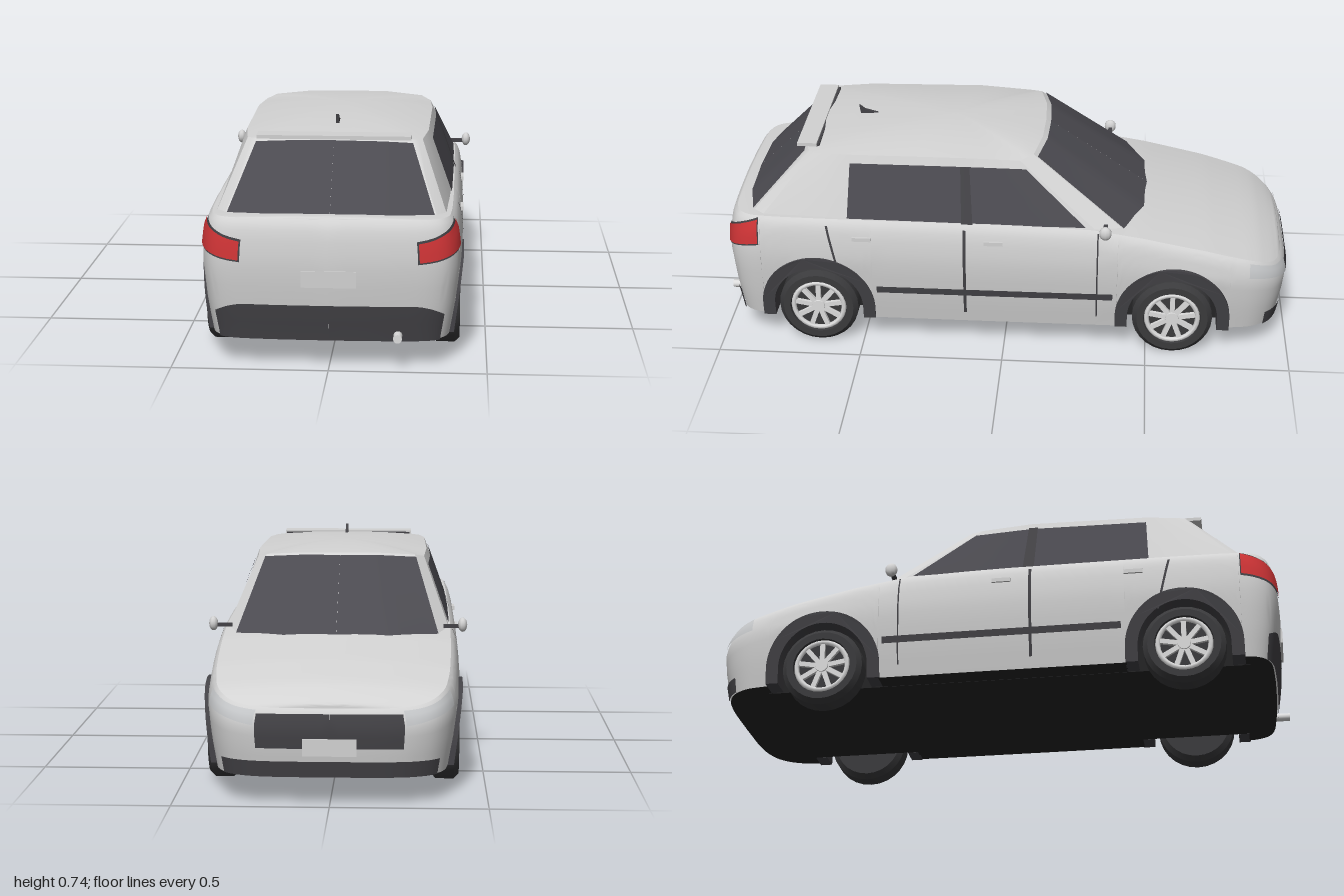
import * as THREE from 'three';
import { toCreasedNormals } from 'three/addons/utils/BufferGeometryUtils.js';

const material = (name, color, side = THREE.FrontSide) => {
  const m = new THREE.MeshStandardMaterial({ color, side });
  m.name = name;
  return m;
};
const { lerp, clamp } = THREE.MathUtils;

// piecewise linear table lookup
function interp(table, x) {
  if (x <= table[0][0]) return table[0][1];
  for (let i = 1; i < table.length; i++) {
    const [x0, y0] = table[i - 1], [x1, y1] = table[i];
    if (x <= x1) return lerp(y0, y1, (x - x0) / (x1 - x0));
  }
  return table[table.length - 1][1];
}

// surface through f(i, j); flip reverses the facing
function grid(f, nu, nv, flip = false, crease = 0.6) {
  const pos = [], index = [];
  for (let i = 0; i <= nu; i++) for (let j = 0; j <= nv; j++) pos.push(...f(i, j));
  for (let i = 0; i < nu; i++) for (let j = 0; j < nv; j++) {
    const a = i * (nv + 1) + j, b = a + nv + 1, c = b + 1, d = a + 1;
    index.push(...(flip ? [a, b, d, b, c, d] : [a, d, b, b, d, c]));
  }
  const g = new THREE.BufferGeometry();
  g.setAttribute('position', new THREE.Float32BufferAttribute(pos, 3));
  g.setIndex(index);
  return toCreasedNormals(g, crease);
}

// half outline of the body seen from above, nose (-z) to tail (+z)
const plan = new THREE.CatmullRomCurve3([
  [0, -1], [0.2, -0.996], [0.29, -0.98], [0.345, -0.945], [0.385, -0.88], [0.405, -0.78], [0.416, -0.6],
  [0.42, -0.2], [0.42, 0.3], [0.418, 0.65], [0.412, 0.83], [0.402, 0.9], [0.375, 0.945], [0.33, 0.968],
  [0.22, 0.98], [0, 0.985],
].map(([x, z]) => new THREE.Vector3(x, 0, z)), false, 'centripetal');
const find = (test) => {
  let lo = 0, hi = 1;
  for (let i = 0; i < 36; i++) { const m = (lo + hi) / 2; if (test(m)) hi = m; else lo = m; }
  return (lo + hi) / 2;
};
const uZ = (z) => find((u) => plan.getPoint(u).z > z);
const uNose = (x) => find((u) => u > 0.45 || plan.getPoint(u).x > x);
const uTail = (x) => find((u) => u > 0.55 && plan.getPoint(u).x < x);

const AXLES = [-0.59, 0.655], ARCH = 0.195, WHEEL_Y = 0.15;
const topY = (z) => interp([[-1, 0.32], [-0.9, 0.355], [-0.7, 0.407], [-0.48, 0.452], [-0.3, 0.48], [0, 0.488], [0.985, 0.49]], z);
const bottomY = (z) => {
  for (const c of AXLES) if (Math.abs(z - c) <= ARCH) return WHEEL_Y + Math.sqrt(ARCH ** 2 - (z - c) ** 2);
  return 0.1;
};
// point on the body wall at outline position u and height y
function wall(u, y, off = 0) {
  const p = plan.getPoint(u), t = plan.getTangent(u);
  const g = Math.min(interp([[0.1, 0.925], [0.2, 0.968], [0.33, 1]], y),
    interp([[0, 0.925], [0.012, 0.95], [0.035, 0.972], [0.08, 0.99], [0.13, 1]], topY(p.z) - y));
  const end = clamp((Math.abs(p.z) - 0.85) / 0.13, 0, 1);
  return [p.x * g + t.z * off, y, p.z - Math.sign(p.z) * (1 - g) * 0.4 * end - t.x * off];
}

// cabin: base x, base z, roof edge x, y, z
const CABIN = [
  [0, -0.5, 0, 0.712, -0.125], [0.18, -0.485, 0.14, 0.711, -0.12], [0.345, -0.41, 0.265, 0.702, -0.095],
  [0.387, -0.33, 0.298, 0.692, -0.05], [0.39, 0.12, 0.308, 0.7, 0.13], [0.386, 0.55, 0.302, 0.697, 0.54],
  [0.375, 0.86, 0.285, 0.692, 0.67], [0.345, 0.9, 0.255, 0.694, 0.69], [0.2, 0.937, 0.15, 0.7, 0.695],
  [0, 0.945, 0, 0.702, 0.695],
];
function cabin(k, t) {
  const i = Math.min(Math.floor(k), 8), f = k - i;
  const [bx, bz, tx, ty, tz] = CABIN[i].map((v, n) => lerp(v, CABIN[i + 1][n], f));
  return new THREE.Vector3(lerp(bx, tx, t), lerp(0.465, ty, t), lerp(bz, tz, t));
}
function cabinOut(k, t, off) {
  const p = cabin(k, t);
  const dk = cabin(Math.min(k + 0.01, 9), t).sub(cabin(Math.max(k - 0.01, 0), t));
  const dt = cabin(k, 1).sub(cabin(k, 0));
  return p.addScaledVector(dt.cross(dk).normalize(), off);
}

export function createModel() {
  const car = new THREE.Group();
  const paint = material('paint', 0xd2d2d2), glass = material('glass', 0x4b4a50), trim = material('darkTrim', 0x434246);
  const tyre = material('tyre', 0x3a3a3c), under = material('underside', 0x242425, THREE.DoubleSide);
  const red = material('redLens', 0xcf3436), lamp = material('lampLens', 0xc6c8ca), metal = material('metal', 0xdcdcdc);
  const add = (name, geo, mat, parent = car) => {
    const m = new THREE.Mesh(geo, mat);
    m.name = name;
    parent.add(m);
    return m;
  };
  const box = (name, mat, w, h, d, x, y, z, parent) => {
    const m = add(name, new THREE.BoxGeometry(w, h, d), mat, parent);
    m.position.set(x, y, z);
    return m;
  };

  // outline stations, closer together around the wheel arches
  const us = [];
  for (let i = 0; i <= 60; i++) us.push(i / 60);
  for (const c of AXLES) {
    for (let i = 0; i <= 16; i++) us.push(uZ(c + (ARCH - 0.0005) * Math.cos(i * Math.PI / 16)));
    us.push(uZ(c - ARCH - 0.001), uZ(c + ARCH + 0.001));
  }
  us.sort((a, b) => a - b);
  const n = us.length - 1;
  const zs = us.map((u) => plan.getPoint(u).z);
  const levels = [0, 0.15, 0.3, 0.45, 0.6, 0.72, 0.82, 0.91, 0.97, 1];

  for (const s of [1, -1]) {
    const side = s > 0 ? 'left' : 'right';
    const flip = s < 0;
    const mir = ([x, y, z]) => [s * x, y, z];

    // body wall, cabin shell and roof
    add(side + 'BodySide', grid((i, j) => mir(wall(us[i], lerp(bottomY(zs[i]), topY(zs[i]), levels[j]))), n, 9, flip), paint);
    add(side + 'CabinShell', grid((i, j) => mir(cabin(i / 2, j / 2).toArray()), 18, 2, flip, 0.4), paint);
    add(side + 'Roof', grid((i, j) => {
      const p = cabin(i / 2, 1), q = 1 - j / 6;
      return mir([p.x * q, lerp(0.73, p.y, q * q), lerp(0.2, p.z, q)]);
    }, 18, 6, flip), paint);

    // windows
    const pane = (name, mat, k0, k1, t0, t1, off) => add(side + name, grid((i, j) =>
      mir(cabinOut(lerp(k0, k1, i / 8), lerp(t0, t1, j / 2), off).toArray()), 8, 2, flip), mat);
    pane('Windshield', glass, 0, 2, 0, 0.96, 0.004);
    pane('SideWindow', glass, 3.06, 4.99, 0.08, 0.88, 0.004);
    pane('WindowPillar', trim, 3.97, 4.06, 0.08, 0.88, 0.009);
    pane('RearWindow', glass, 7.05, 9, 0.08, 0.95, 0.004);

    // thin plates following the body wall
    const plate = (name, mat, off, f, nu = 10, nv = 3) => add(side + name, grid((i, j) => {
      const [u, y] = f(i / nu, j / nv);
      return mir(wall(u, y, off));
    }, nu, nv, flip), mat);
    const t0 = uZ(0.858), t1 = uTail(0.285);
    plate('TailLightFrame', trim, 0.003, (a, b) => [lerp(t0 - 0.003, t1 + 0.003, a), lerp(lerp(0.389, 0.354, a), lerp(0.486, 0.426, a), b)]);
    plate('TailLight', red, 0.006, (a, b) => [lerp(t0, t1, a), lerp(lerp(0.395, 0.36, a), lerp(0.48, 0.42, a), b)]);
    const h0 = uNose(0.245), h1 = uZ(-0.85);
    plate('Headlight', lamp, 0.005, (a, b) => {
      const u = lerp(h0, h1, a);
      return [u, lerp(lerp(0.268, 0.31, a), topY(plan.getPoint(u).z) - 0.008, b)];
    });
    const g1 = uNose(0.24);
    plate('Grille', trim, 0.005, (a, b) => [g1 * a, lerp(0.195, 0.305, b)]);
    const f1 = uZ(-0.925);
    plate('FrontBumper', trim, 0.005, (a, b) => [f1 * a, lerp(0.1, 0.152, b)], 14);
    const r0 = uZ(0.945), r1 = uTail(0.29);
    plate('RearBumper', trim, 0.005, (a, b) => {
      const u = lerp(r0, 1, a);
      return [u, lerp(0.097, lerp(0.185, 0.216, clamp((u - r0) / (r1 - r0), 0, 1)), b)];
    }, 16, 4);
    plate('SideMoulding', trim, 0.006, (a, b) => [uZ(lerp(-0.38, 0.445, a)), lerp(0.217, 0.242, b)]);
    for (const [z0, z1, y0, w] of [[0.135, 0.135, 0.14, 0.01], [-0.325, -0.325, 0.14, 0.005], [0.572, 0.615, 0.28, 0.008]])
      plate('DoorGap', trim, 0.003, (a, b) => [uZ(lerp(z0, z1, b) + (a - 0.5) * w), lerp(y0, 0.47, b)], 1, 8);

    // door handles
    for (const z of [0.492, 0.035]) box(side + 'DoorHandle', paint, 0.016, 0.014, 0.065, s * 0.413, 0.428, z);

    // door mirror
    const mirror = add(side + 'Mirror', new THREE.SphereGeometry(1, 10, 8), paint);
    mirror.scale.set(0.016, 0.025, 0.022);
    mirror.position.set(s * 0.43, 0.49, -0.35);
    box(side + 'MirrorArm', trim, 0.06, 0.012, 0.014, s * 0.395, 0.485, -0.35);

    for (const z of AXLES) {
      // arch trim, leaning in with the body side
      const shape = new THREE.Shape();
      shape.moveTo(0.2, -0.05);
      shape.lineTo(0.2, 0);
      shape.absarc(0, 0, 0.2, 0, Math.PI, false);
      shape.lineTo(-0.2, -0.05);
      shape.lineTo(-0.157, -0.05);
      shape.lineTo(-0.157, 0);
      shape.absarc(0, 0, 0.157, Math.PI, 0, true);
      shape.lineTo(0.157, -0.05);
      const arch = new THREE.ExtrudeGeometry(shape, { depth: 0.08, bevelEnabled: false, curveSegments: 20 });
      arch.translate(0, 0, -0.04).rotateY(Math.PI / 2).translate(s * 0.384, WHEEL_Y, z);
      const p = arch.attributes.position;
      for (let i = 0; i < p.count; i++) p.setX(i, p.getX(i) - s * Math.max(0, 0.33 - p.getY(i)) * 0.13);
      arch.computeVertexNormals();
      add(side + 'WheelArch', arch, trim);

      // wheel
      const wheel = new THREE.Group();
      wheel.name = side + 'Wheel';
      wheel.position.set(s * 0.367, WHEEL_Y, z);
      wheel.rotation.y = s > 0 ? 0 : Math.PI;
      car.add(wheel);
      const profile = [[0, -0.046], [0.122, -0.046], [0.14, -0.03], [0.14, 0.03], [0.124, 0.046], [0.1, 0.046], [0.096, 0.026], [0, 0.026]];
      const tyreGeo = new THREE.LatheGeometry(profile.map(([r, h]) => new THREE.Vector2(r, h)), 28).rotateZ(-Math.PI / 2);
      add('tyre', toCreasedNormals(tyreGeo, 0.5), tyre, wheel);
      const rim = add('rimRing', new THREE.TorusGeometry(0.089, 0.009, 6, 28).rotateY(Math.PI / 2), metal, wheel);
      rim.position.x = 0.036;
      add('hub', new THREE.CylinderGeometry(0.022, 0.026, 0.02, 14).rotateZ(-Math.PI / 2), metal, wheel).position.x = 0.034;
      for (let i = 0; i < 9; i++) {
        const spoke = new THREE.BoxGeometry(0.012, 0.07, 0.017).translate(0.034, 0.053, 0).rotateX(i * Math.PI * 2 / 9);
        add('spoke', spoke, metal, wheel);
      }
    }
  }

  // bonnet and tail deck, spanning the wall tops
  add('bonnetAndDeck', grid((i, j) => {
    const [x, y, z] = wall(us[i], topY(zs[i])), q = 1 - j / 6;
    const crown = interp([[-0.45, 0.026], [-0.2, 0.008]], z) * Math.min(1, x / 0.35);
    return [x * q, y + crown * (1 - q * q), z];
  }, n, 12), paint);

  // floor with wheel wells
  add('floor', grid((i, j) => {
    const [x, y, z] = wall(us[i], bottomY(zs[i]));
    return [x * (j - 1), y, z];
  }, n, 2), under);
  box('chassis', under, 0.62, 0.24, 1.68, 0, 0.219, 0.04);

  // number plates
  box('rearPlate', paint, 0.174, 0.053, 0.008, 0, 0.304, 0.984);
  box('frontPlate', paint, 0.17, 0.055, 0.012, 0, 0.2, -0.992);

  // spoiler over the rear window
  box('spoiler', paint, 0.5, 0.012, 0.068, 0, 0.705, 0.695);
  box('spoilerGap', trim, 0.49, 0.01, 0.012, 0, 0.7, 0.658);

  // roof fin
  const fin = new THREE.Shape([[-0.455, 0.715], [-0.54, 0.715], [-0.545, 0.748], [-0.525, 0.733]].map(([a, b]) => new THREE.Vector2(a, b)));
  add('roofFin', new THREE.ExtrudeGeometry(fin, { depth: 0.01, bevelEnabled: false }).translate(0, 0, -0.005).rotateY(Math.PI / 2), trim);

  // exhaust
  const pipe = add('exhaust', new THREE.CylinderGeometry(0.014, 0.014, 0.1, 14).rotateX(Math.PI / 2), metal);
  pipe.position.set(0.218, 0.118, 0.95);

  return car;
}
